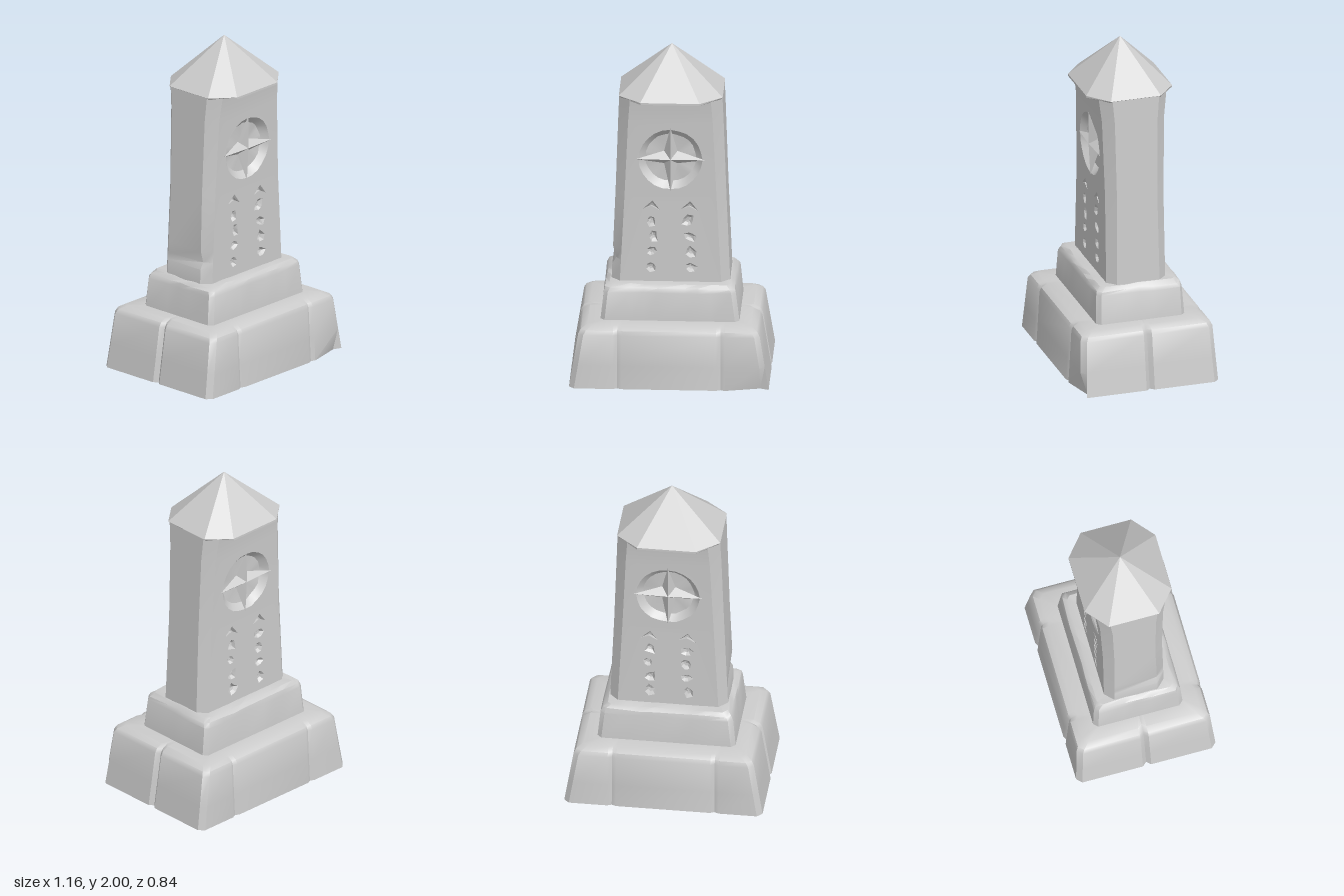
import * as THREE from 'three';
import { toCreasedNormals } from 'three/addons/utils/BufferGeometryUtils.js';

const stone = new THREE.MeshStandardMaterial({ color: 0xcccccc, roughness: 0.9 });

let seed = 7;
const rand = () => (seed = (seed * 16807) % 2147483647) / 2147483647;
const jitter = (a) => (rand() - 0.5) * 2 * a;

function meshFrom(name, tris, crease = 0.6) {
  const geo = new THREE.BufferGeometry();
  geo.setAttribute('position', new THREE.Float32BufferAttribute(tris.flat(), 3));
  const mesh = new THREE.Mesh(toCreasedNormals(geo, crease), stone);
  mesh.name = name;
  return mesh;
}

// Rectangle with cut corners, counter-clockwise seen from above.
// Joints are V-shaped grooves [position, half width, depth] on the long and short sides.
function ring(y, hx, hz, cx, cz = cx, longJoints = [], shortJoints = []) {
  const p = [[hx - cx, y, hz], [hx, y, hz - cz]];
  for (const [t, w, d] of shortJoints) p.push([hx, y, t + w], [hx - d, y, t], [hx, y, t - w]);
  p.push([hx, y, -hz + cz], [hx - cx, y, -hz]);
  for (const [t, w, d] of [...longJoints].reverse()) p.push([t + w, y, -hz], [t, y, -hz + d], [t - w, y, -hz]);
  p.push([-hx + cx, y, -hz], [-hx, y, -hz + cz]);
  for (const [t, w, d] of shortJoints) p.push([-hx, y, t - w], [-hx + d, y, t], [-hx, y, t + w]);
  p.push([-hx, y, hz - cz], [-hx + cx, y, hz]);
  for (const [t, w, d] of longJoints) p.push([t - w, y, hz], [t, y, hz - d], [t + w, y, hz]);
  return p;
}

// Skin between rings, closed by fans at the given bottom and top heights.
function loft(rings, bottomY, topY, skip = []) {
  const tris = [];
  const n = rings[0].length;
  for (let i = 0; i < n; i++) {
    const j = (i + 1) % n;
    if (!skip.includes(i)) {
      for (let r = 0; r < rings.length - 1; r++) {
        const [a, b, c, d] = [rings[r][i], rings[r][j], rings[r + 1][j], rings[r + 1][i]];
        tris.push(...a, ...b, ...c, ...a, ...c, ...d);
      }
    }
    const top = rings[rings.length - 1];
    tris.push(...rings[0][j], ...rings[0][i], 0, bottomY, 0);
    tris.push(...top[i], ...top[j], 0, topY, 0);
  }
  return tris;
}

// Shaft rows: height, half width, half depth, corner cut
const rows = [
  [0.57, 0.345, 0.18, 0.05],
  [1.12, 0.322, 0.178, 0.055],
  [1.58, 0.306, 0.19, 0.06],
  [1.725, 0.3, 0.207, 0.065],
];
function shaftAt(y) {
  let i = 0;
  while (i < rows.length - 2 && y > rows[i + 1][0]) i++;
  const t = (y - rows[i][0]) / (rows[i + 1][0] - rows[i][0]);
  return rows[i].map((v, k) => v + (rows[i + 1][k] - v) * t);
}
const faceZ = (y) => shaftAt(y)[2];
const onFace = (x, y, lift = 0) => [x, y, faceZ(y) + lift];

// Flat band of the face, pierced by the carved outlines
function faceBand(y0, y1, holes) {
  const [a, b] = [shaftAt(y0), shaftAt(y1)];
  const w0 = a[1] - a[3], w1 = b[1] - b[3];
  const shape = new THREE.Shape([[-w0, y0], [w0, y0], [w1, y1], [-w1, y1]].map((p) => new THREE.Vector2(...p)));
  for (const h of holes) shape.holes.push(new THREE.Path(h.map((p) => new THREE.Vector2(...p))));
  const geo = new THREE.ShapeGeometry(shape).toNonIndexed();
  const pos = geo.attributes.position;
  const tris = [];
  for (let i = 0; i < pos.count; i++) tris.push(...onFace(pos.getX(i), pos.getY(i)));
  return tris;
}

// Hollow below an outline: steep wall to a shrunken floor, then to its centre
function pit(outline, depth, floorScale) {
  const n = outline.length;
  const cx = outline.reduce((s, p) => s + p[0], 0) / n;
  const cy = outline.reduce((s, p) => s + p[1], 0) / n;
  const floor = outline.map(([x, y]) =>
    onFace(cx + (x - cx) * floorScale, cy + (y - cy) * floorScale, -depth * (0.85 + jitter(0.15))));
  const tris = [];
  for (let i = 0; i < n; i++) {
    const j = (i + 1) % n;
    const a = onFace(...outline[i]), b = onFace(...outline[j]);
    tris.push(...a, ...b, ...floor[j], ...a, ...floor[j], ...floor[i]);
    tris.push(...floor[i], ...floor[j], ...onFace(cx, cy, -depth));
  }
  return tris;
}

function blob(cx, cy, rx, ry, n, rough) {
  return Array.from({ length: n }, (_, i) => {
    const a = (i / n) * Math.PI * 2;
    const k = 1 - rand() * rough;
    return [cx + Math.cos(a) * rx * k, cy + Math.sin(a) * ry * k];
  });
}

// One decorated face of the shaft, facing +z
function carvedFace() {
  const face = new THREE.Group();
  const disc = blob(0, 1.345, 0.188, 0.188, 24, 0.03);
  const marks = [];
  for (const x of [-0.11, 0.11]) {
    for (let i = 0; i < 4; i++) marks.push(blob(x + jitter(0.012), 0.675 + i * 0.095, 0.046, 0.046, 7, 0.55));
    marks.push([[x - 0.05, 1.035], [x, 1.052], [x + 0.05, 1.025], [x + 0.005, 1.085]]);
  }
  face.add(meshFrom('facePanel', [
    ...faceBand(0.57, 1.12, marks), ...faceBand(1.12, 1.58, [disc]), ...faceBand(1.58, 1.725, [])]));
  face.add(meshFrom('roundRecess', pit(disc, 0.045, 0.8)));
  face.add(meshFrom('carvedMarks', marks.flatMap((m) => pit(m, 0.02, 0.5)), 0.2));

  // Four-pointed star with raised ridges
  const star = [];
  const point = (i) => {
    const a = (i * Math.PI) / 4;
    const r = i % 2 ? 0.055 : 0.2;
    return onFace(Math.cos(a) * r, 1.345 + Math.sin(a) * r, i % 2 ? -0.042 : 0.002);
  };
  for (let i = 0; i < 8; i++) star.push(...point(i), ...point(i + 1), ...onFace(0, 1.345, 0.008));
  face.add(meshFrom('star', star, 0.1));
  return face;
}

export function createModel() {
  const model = new THREE.Group();
  model.name = 'stoneMonument';

  // Plinth of fitted blocks, with one chipped lower corner
  const plinthRows = [
    [0, 0.58, 0.42], [0.14, 0.557, 0.412], [0.325, 0.527, 0.402],
    [0.35, 0.512, 0.39], [0.37, 0.475, 0.355], [0.372, 0.38, 0.25],
  ].map(([y, hx, hz], i) => {
    const d = i === 5 ? 0 : 1;
    return ring(y, hx, hz, 0.03, 0.03,
      [[-0.3, 0.025, 0.012 * d], [0.3, 0.025, 0.012 * d]], [[0, 0.025, 0.022 * d]]);
  });
  plinthRows[0][0][2] -= 0.05;
  plinthRows[0][0][0] -= 0.02;
  model.add(meshFrom('plinth', loft(plinthRows, 0, 0.372)));

  // Step, slightly worn along its upper edge
  const stepRows = [
    [0.36, 0.405, 0.27], [0.54, 0.385, 0.262], [0.565, 0.375, 0.252], [0.583, 0.35, 0.23], [0.585, 0.3, 0.16],
  ].map(([y, hx, hz], i) => {
    const r = ring(y, hx, hz, 0.025, 0.025, [[-0.15, 0.08, 0], [0.16, 0.08, 0]], [[0, 0.08, 0]]);
    return i && i < 4 ? r.map(([px, py, pz]) => [px + jitter(0.004), py + jitter(0.005), pz + jitter(0.004)]) : r;
  });
  model.add(meshFrom('step', loft(stepRows, 0.36, 0.585)));

  // Tapered shaft corners and sides, with a chipped edge low on the right
  const shaftRings = [0.57, 0.67, 0.71, 0.78, 1.12, 1.58, 1.725].map((y) => {
    const [, hx, hz, c] = shaftAt(y);
    const r = ring(y, hx, hz, c);
    if (y === 0.71) r[6][0] += 0.022;
    return r;
  });
  model.add(meshFrom('shaft', loft(shaftRings, 0.57, 1.725, [3, 7])));

  // Carved front and back
  for (const [name, turn] of [['frontFace', 0], ['backFace', Math.PI]]) {
    const face = carvedFace();
    face.name = name;
    face.rotation.y = turn;
    model.add(face);
  }

  // Pointed cap overhanging front and back
  const capRings = [
    ring(1.713, 0.29, 0.262, 0.12, 0.11), ring(1.725, 0.302, 0.262, 0.13, 0.11),
  ];
  model.add(meshFrom('cap', loft(capRings, 1.713, 2), 0.3));
  return model;
}
